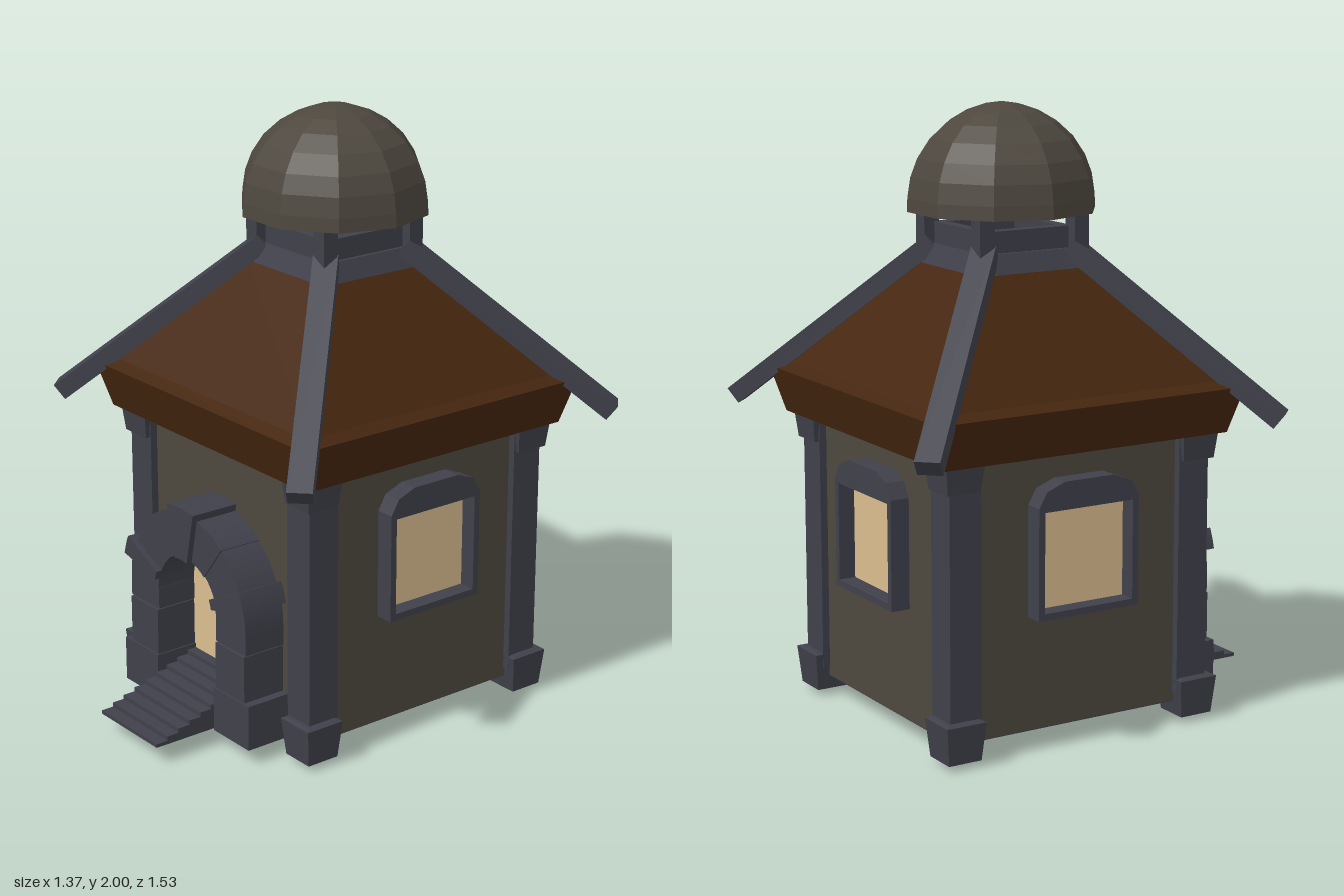
import * as THREE from 'three';

const mat = (name, color) => {
  const m = new THREE.MeshStandardMaterial({ color });
  m.name = name;
  return m;
};

export function createModel() {
  const stone = mat('slateStone', 0x40404b);
  const plaster = mat('greyPlaster', 0x4d473e);
  const timber = mat('brownRoof', 0x45260f);
  const glow = mat('warmGlass', 0xdabd8f);

  const model = new THREE.Group();
  model.name = 'hut';
  const house = new THREE.Group();
  house.name = 'house';
  house.position.z = -0.077;
  model.add(house);

  const add = (parent, name, geo, material, x = 0, y = 0, z = 0) => {
    const mesh = new THREE.Mesh(geo, material);
    mesh.name = name;
    mesh.position.set(x, y, z);
    parent.add(mesh);
    return mesh;
  };
  // Box given by its minimum and maximum corners
  const box = (parent, name, material, a, b) => add(parent, name,
    new THREE.BoxGeometry(b[0] - a[0], b[1] - a[1], b[2] - a[2]), material,
    (a[0] + b[0]) / 2, (a[1] + b[1]) / 2, (a[2] + b[2]) / 2);
  // Faceted lathe from [radius, height] points
  const faceted = (profile, sides, start, scale = 1) => {
    const pts = profile.map(([r, y]) => new THREE.Vector2(r * scale, y));
    const geo = new THREE.LatheGeometry(pts, sides, start).toNonIndexed();
    geo.computeVertexNormals();
    return geo;
  };
  // Square tower shape from [half width, height] points
  const square = (profile) => faceted(profile, 4, Math.PI / 4, Math.SQRT2);
  const outline = (points) => points.map(([x, y]) => new THREE.Vector2(x, y));
  const extrude = (shape, depth) =>
    new THREE.ExtrudeGeometry(shape, { depth, bevelEnabled: false, curveSegments: 8 });

  // Walls and floor
  box(house, 'walls', plaster, [-0.455, 0.07, -0.455], [0.455, 0.97, 0.455]);
  box(house, 'floor', stone, [-0.45, 0.065, -0.45], [0.45, 0.075, 0.45]);

  // Corner pillars with flared feet and capitals
  for (const sx of [-1, 1]) for (const sz of [-1, 1]) {
    const pillar = new THREE.Group();
    pillar.name = 'cornerPillar';
    house.add(pillar);
    add(pillar, 'shaft', square([[0, 0.1], [0.056, 0.1], [0.056, 0.96], [0, 0.96]]),
      stone, sx * 0.424, 0, sz * 0.424);
    add(pillar, 'foot', square([[0, 0], [0.058, 0.02], [0.07, 0.145], [0.056, 0.15], [0, 0.15]]),
      stone, sx * 0.437, 0, sz * 0.437);
    add(pillar, 'capital', square([[0, 0.875], [0.058, 0.875], [0.068, 0.965], [0, 0.965]]),
      stone, sx * 0.435, 0, sz * 0.435);
  }

  // Roof with eave skirt
  add(house, 'roof', square([[0, 0.96], [0.522, 0.96], [0.562, 1.11], [0.52, 1.13],
    [0.2, 1.485], [0, 1.485]]), timber);

  // Diagonal hip beams
  const inner = { d: 0.225, y: 1.545 }, outer = { d: 0.911, y: 1.01 };
  const length = Math.hypot(outer.d - inner.d, outer.y - inner.y);
  const slope = Math.atan2(inner.y - outer.y, outer.d - inner.d);
  for (let i = 0; i < 4; i++) {
    const arm = new THREE.Group();
    arm.name = 'hipBeam';
    arm.rotation.y = Math.PI / 4 + i * Math.PI / 2;
    house.add(arm);
    add(arm, 'beam', new THREE.BoxGeometry(0.08, 0.06, length), stone,
      0, (inner.y + outer.y) / 2, (inner.d + outer.d) / 2).rotation.x = slope;
  }

  // Lantern: parapet, posts and dome
  add(house, 'parapet', square([[0.21, 1.47], [0.178, 1.54], [0.165, 1.54], [0.165, 1.61],
    [0.125, 1.61], [0.125, 1.49], [0, 1.49]]), stone);
  for (const sx of [-1, 1]) for (const sz of [-1, 1]) {
    add(house, 'lanternPost', new THREE.BoxGeometry(0.054, 0.24, 0.054), stone,
      sx * 0.175, 1.6, sz * 0.175);
  }
  add(house, 'dome', faceted([[0, 1.93], [0.15, 1.89], [0.24, 1.8], [0.275, 1.655],
    [0.31, 1.655], [0.308, 1.7], [0.298, 1.765], [0.275, 1.825], [0.235, 1.885],
    [0.18, 1.935], [0.12, 1.97], [0.055, 1.992], [0, 2]], 10, Math.PI / 2), plaster);

  // Windows on both sides and the back
  const frame = new THREE.Shape(outline([[-0.185, 0.44], [0.185, 0.44], [0.185, 0.8],
    [0.155, 0.85], [0.09, 0.875], [-0.09, 0.875], [-0.155, 0.85], [-0.185, 0.8]]));
  frame.holes.push(new THREE.Path(outline([[-0.163, 0.462], [-0.163, 0.785],
    [0.163, 0.785], [0.163, 0.462]])));
  const frameGeo = extrude(frame, 0.07);
  for (const turn of [1, 2, 3]) {
    const win = new THREE.Group();
    win.name = 'window';
    win.rotation.y = turn * Math.PI / 2;
    house.add(win);
    add(win, 'windowFrame', frameGeo, stone, 0, 0, 0.45);
    box(win, 'windowPane', glow, [-0.165, 0.46, 0.455], [0.165, 0.787, 0.463]);
  }

  // Doorway
  const door = new THREE.Group();
  door.name = 'doorway';
  model.add(door);
  const panel = new THREE.Shape();
  panel.moveTo(-0.165, 0.1);
  panel.lineTo(0.165, 0.1);
  panel.lineTo(0.165, 0.44);
  panel.absarc(0, 0.44, 0.165, 0, Math.PI, false);
  add(door, 'doorPanel', extrude(panel, 0.008), glow, 0, 0, 0.378);

  // Door jambs of stacked blocks
  for (const s of [-1, 1]) {
    const block = (name, x0, x1, y0, y1, z1) => box(door, name, stone,
      [Math.min(s * x0, s * x1), y0, 0.36], [Math.max(s * x0, s * x1), y1, z1]);
    block('jambFoot', 0.155, 0.342, 0.053, 0.205, 0.54);
    block('jambLower', 0.16, 0.312, 0.205, 0.363, 0.533);
    block('jambUpper', 0.158, 0.315, 0.367, 0.44, 0.528);
  }

  // Arch stones, with raised keystone and shoulder stones
  const archStone = (name, a0, a1, r, depth) => {
    const shape = new THREE.Shape();
    const p = THREE.MathUtils.degToRad(a0), q = THREE.MathUtils.degToRad(a1);
    shape.absarc(0, 0, r, p, q, false);
    shape.absarc(0, 0, 0.159, q, p, true);
    add(door, name, extrude(shape, depth), stone, 0, 0.44, 0.36);
  };
  archStone('keystone', 78, 102, 0.337, 0.19);
  for (const m of [(a) => a, (a) => 180 - a]) {
    for (const [a0, a1, r, depth] of [[0, 13, 0.314, 0.168], [13, 25, 0.337, 0.185],
      [25, 52, 0.308, 0.165], [52, 78, 0.312, 0.17]]) {
      archStone('archStone', Math.min(m(a0), m(a1)), Math.max(m(a0), m(a1)), r, depth);
    }
  }

  // Stairs
  const steps = 9, run = 0.387 / steps;
  for (let i = 0; i < steps; i++) {
    box(door, 'step', stone, [-0.156, 0.06, 0.378],
      [0.156, 0.072 + i * 0.0148, 0.765 - i * run]);
  }
  return model;
}
